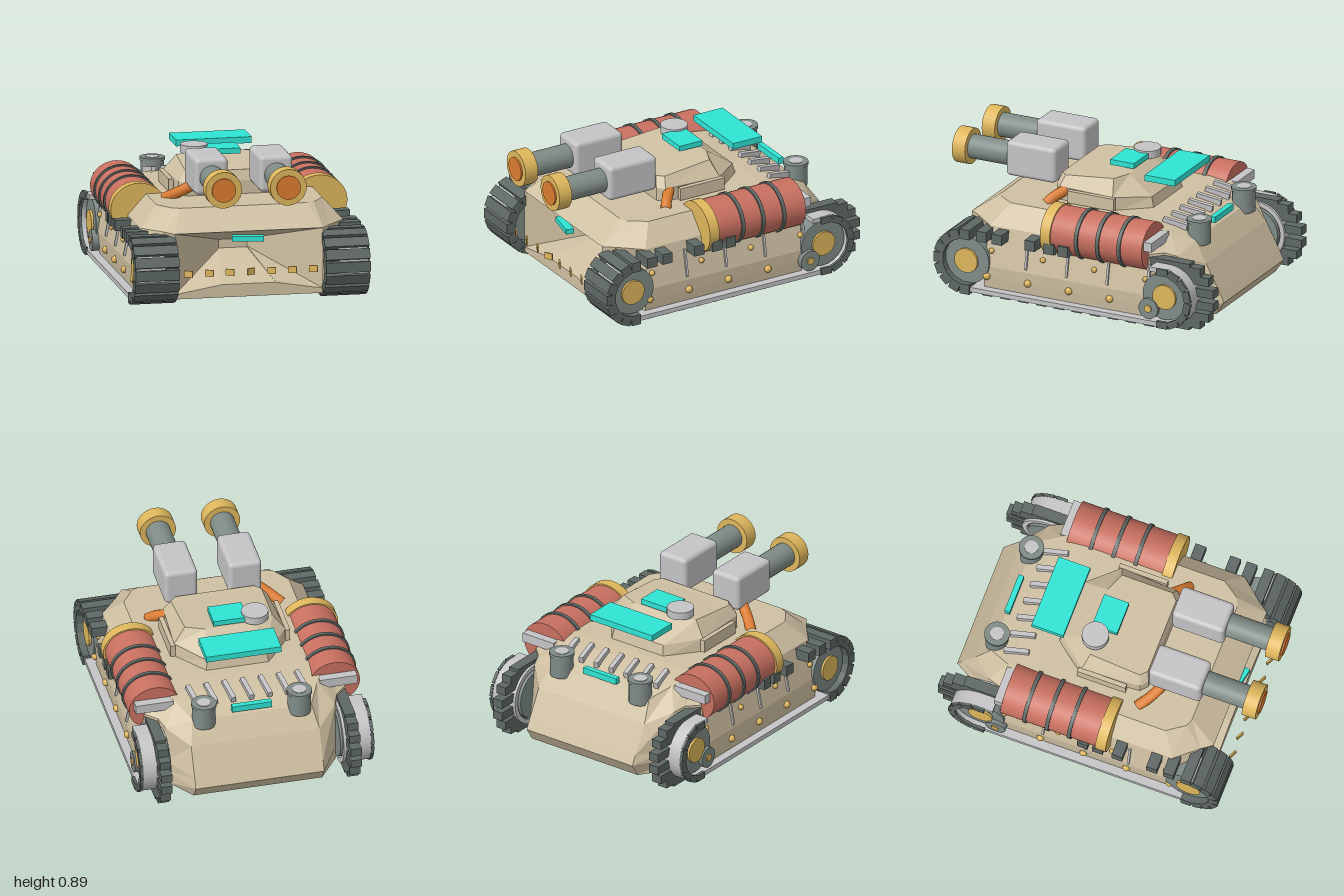
import * as THREE from 'three';
import { RoundedBoxGeometry } from 'three/addons/geometries/RoundedBoxGeometry.js';

const mat = (name, color) => Object.assign(new THREE.MeshStandardMaterial({ color }), { name });

export function createModel() {
  const M = {
    tan: mat('sand armour', 0xcfc0a2), gold: mat('brass', 0xdeb65c), orange: mat('orange copper', 0xdb7c30),
    teal: mat('turquoise glass', 0x2ee4d4), brick: mat('brick red', 0xc87060), steel: mat('grey green steel', 0x7f8b86),
    dark: mat('dark track', 0x5e6865), light: mat('light grey metal', 0xc4c4c6),
  };
  const root = new THREE.Group();
  const add = (name, geo, m, x = 0, y = 0, z = 0, rx = 0, ry = 0, rz = 0) => {
    const mesh = new THREE.Mesh(geo, m);
    mesh.name = name;
    mesh.position.set(x, y, z);
    mesh.rotation.set(rx, ry, rz);
    root.add(mesh);
  };
  const box = (w, h, d) => new THREE.BoxGeometry(w, h, d);
  // cylinders lying along x, y or z
  const cyl = (r, len, axis = 'y', seg = 28) => {
    const g = new THREE.CylinderGeometry(r, r, len, seg);
    if (axis === 'x') g.rotateZ(-Math.PI / 2);
    if (axis === 'z') g.rotateX(Math.PI / 2);
    return g;
  };
  // faceted surface from quads of [x, y, z] corners
  const quadGeo = quads => {
    const p = [];
    quads.forEach(([a, b, c, d]) => p.push(...a, ...b, ...c, ...a, ...c, ...d));
    const g = new THREE.BufferGeometry();
    g.setAttribute('position', new THREE.Float32BufferAttribute(p, 3));
    g.computeVertexNormals();
    return g;
  };
  const mirrorRing = half => [...half, ...half.map(([x, y, z]) => [-x, y, z]).reverse()];
  const loft = (rings, skip = () => false) => {
    const q = [];
    for (let k = 0; k < rings.length - 1; k++) {
      const a = rings[k], b = rings[k + 1], n = a.length;
      for (let i = 0; i < n; i++) {
        const j = (i + 1) % n;
        if (!skip(k, i)) q.push([a[i], a[j], b[j], b[i]]);
      }
    }
    return q;
  };
  const cap = (r, up) => {
    const q = [], n = r.length;
    for (let i = 0; i < n / 2 - 1; i++) {
      const f = [r[i], r[i + 1], r[n - 2 - i], r[n - 1 - i]];
      q.push(up ? f : f.reverse());
    }
    return q;
  };

  // hull: plan outlines from belly to deck, widest low on the sides
  const plan = (y, side, rear, z) => mirrorRing([[0.47, y, 0.77], [0.47, y, 0.66], [side, y, 0.58],
    [side, y, -0.55], [0.57, y, -0.62], [0.54, Math.min(y, rear + 0.06), -0.72], [0.41, rear, z]]);
  const hull = [
    plan(0.045, 0.675, 0.045, -0.9), plan(0.13, 0.685, 0.13, -0.955), plan(0.205, 0.69, 0.19, -0.925),
    mirrorRing([[0.47, 0.46, 0.77], [0.52, 0.46, 0.7], [0.64, 0.46, 0.56], [0.64, 0.46, -0.55],
      [0.57, 0.46, -0.62], [0.54, 0.44, -0.7], [0.41, 0.37, -0.83]]),
    mirrorRing([[0.4, 0.585, 0.6], [0.45, 0.585, 0.58], [0.527, 0.585, 0.47], [0.527, 0.585, -0.42],
      [0.49, 0.575, -0.52], [0.45, 0.555, -0.6], [0.38, 0.5, -0.74]]),
  ];
  // recessed nose: a funnel behind a low raised lip
  const mouth = mirrorRing([[0.17, 0.126, 0.77], [0.47, 0.075, 0.77], [0.47, 0.46, 0.77]]);
  const throat = mirrorRing([[0.088, 0.245, 0.27], [0.09, 0.25, 0.27], [0.09, 0.3, 0.27]]);
  const lip = [[0.47, 0.045], [0.17, 0.045], [-0.17, 0.045], [-0.47, 0.045]].map(([x, y]) => [x, y, 0.77]);
  const lipTop = [mouth[1], mouth[0], mouth[5], mouth[4]];
  const lipQuads = [0, 1, 2].map(i => [lip[i + 1], lip[i], lipTop[i], lipTop[i + 1]]);
  const last = hull[0].length - 1;
  add('hull', quadGeo([...loft(hull, (k, i) => k < 3 && i === last), ...cap(hull[4], true),
    ...cap(hull[0], false), ...loft([mouth, throat]), ...cap(throat, true), ...lipQuads]), M.tan);

  // turret
  const turret = [
    mirrorRing([[0.29, 0.57, 0.27], [0.335, 0.57, 0.23], [0.365, 0.57, -0.15], [0.2, 0.57, -0.36]]),
    mirrorRing([[0.29, 0.67, 0.27], [0.335, 0.67, 0.23], [0.355, 0.67, -0.15], [0.19, 0.65, -0.34]]),
    mirrorRing([[0.25, 0.735, 0.25], [0.29, 0.735, 0.21], [0.28, 0.765, -0.12], [0.16, 0.765, -0.17]]),
  ];
  add('turret', quadGeo([...loft(turret), ...cap(turret[2], true)]), M.tan);
  add('hatch', cyl(0.085, 0.05), M.light, -0.165, 0.8, -0.13);
  add('roofWindow', box(0.215, 0.035, 0.165), M.teal, 0, 0.795, -0.09);
  add('rearPanel', box(0.48, 0.04, 0.21), M.teal, 0, 0.79, -0.42);
  add('rearLamp', box(0.255, 0.04, 0.035), M.teal, 0, 0.545, -0.73);
  add('frontLamp', box(0.2, 0.033, 0.05), M.teal, -0.005, 0.412, 0.757, 0, -0.2);

  // copper hoses beside the guns
  const hose = (...pts) => add('hose', new THREE.TubeGeometry(
    new THREE.CatmullRomCurve3(pts.map(p => new THREE.Vector3(...p))), 10, 0.034, 12), M.orange);
  hose([-0.43, 0.575, 0.25], [-0.36, 0.62, 0.31], [-0.25, 0.69, 0.38]);
  hose([0.42, 0.575, 0.28], [0.38, 0.61, 0.25], [0.31, 0.65, 0.19]);

  // row of brass nose tabs and rear vent slats
  for (let i = 0; i < 7; i++) {
    add('noseTab', box(0.055, 0.042, 0.01), M.gold, -0.405 + i * 0.132, 0.225, 0.87, 0, i % 4 === 3 ? 0.45 : -0.45);
    add('ventSlat', box(0.03, 0.04, 0.16), M.light, -0.355 + i * 0.116, 0.57, -0.58, -0.2, 0.17);
  }

  // track belt: a strip along the belly that curls up around both wheels
  const belt = new THREE.Shape();
  belt.moveTo(0.66, 0.42);
  belt.lineTo(0.66, 0.39);
  belt.absarc(0.69, 0.225, 0.165, Math.PI / 2, -Math.PI / 2, true);
  belt.absarc(-0.69, 0.225, 0.165, Math.PI * 1.5, Math.PI / 2, true);
  belt.lineTo(-0.6, 0.39);
  belt.lineTo(-0.6, 0.42);
  belt.absarc(-0.69, 0.225, 0.195, Math.PI / 2, Math.PI * 1.5, false);
  belt.absarc(0.69, 0.225, 0.195, -Math.PI / 2, Math.PI / 2, false);
  belt.closePath();
  const beltGeo = new THREE.ExtrudeGeometry(belt, { depth: 0.18, bevelEnabled: false, curveSegments: 20 });
  beltGeo.rotateY(-Math.PI / 2).translate(0.09, 0, 0);

  // drums are slightly wider than tall
  const drumGeo = (r, len) => cyl(r, len, 'z', 36).scale(1.09, 1, 1);

  // parts in mirrored pairs
  for (const s of [1, -1]) {
    // guns
    const gx = 0.205 * s;
    add('gunHousing', new RoundedBoxGeometry(0.21, 0.23, 0.345, 3, 0.028), M.light, gx, 0.78, 0.447);
    add('gunBarrel', cyl(0.077, 0.32, 'z'), M.steel, gx, 0.775, 0.76);
    add('muzzleRing', cyl(0.115, 0.09, 'z'), M.gold, gx, 0.775, 0.943);
    add('muzzleCore', cyl(0.076, 0.02, 'z'), M.orange, gx, 0.775, 0.988);

    // side drums
    const dx = 0.573 * s;
    add('drum', drumGeo(0.151, 0.66), M.brick, dx, 0.495, -0.215);
    add('drumCap', drumGeo(0.163, 0.068), M.gold, dx, 0.492, 0.122);
    for (const z of [-0.09, -0.237, -0.387])
      add('drumBand', drumGeo(0.16, 0.024), M.dark, dx, 0.495, z);
    add('drumBracket', box(0.24, 0.06, 0.06), M.light, 0.588 * s, 0.535, -0.57);

    // exhaust stacks and turret cheeks
    add('stack', cyl(0.073, 0.14), M.steel, 0.305 * s, 0.53, -0.73);
    add('stackRim', cyl(0.079, 0.02), M.steel, 0.305 * s, 0.608, -0.73);
    add('stackMouth', cyl(0.043, 0.008), M.light, 0.305 * s, 0.617, -0.73);
    add('turretCheek', box(0.03, 0.08, 0.32), M.tan, 0.367 * s, 0.63, -0.01);

    // track belt and wheels, recessed behind the shoes
    add('trackBelt', beltGeo, M.light, 0.643 * s);
    for (const z of [0.69, -0.69]) {
      add('wheel', cyl(0.155, 0.16, 'x', 24), M.steel, 0.62 * s, 0.225, z);
      add('hub', cyl(0.08, 0.03, 'x', 24), M.gold, 0.7 * s, 0.225, z);
    }
    add('idler', cyl(0.067, 0.06, 'x', 20), M.steel, 0.695 * s, 0.135, -0.585);
    add('idlerHub', cyl(0.024, 0.012, 'x', 14), M.gold, 0.727 * s, 0.135, -0.585);

    // track shoes: front arc, rear arc, belly and upper run
    for (let i = 0; i < 9; i++) {
      const a = Math.PI * (0.5 - i / 8);
      add('frontShoe', box(0.28, 0.066, 0.065), M.dark, 0.605 * s,
        0.228 + 0.182 * Math.sin(a), 0.685 + 0.182 * Math.cos(a), -a);
    }
    for (let i = 0; i < 8; i++) {
      const a = Math.PI * (0.5 - i / 7);
      add('rearShoe', box(0.07, 0.055, 0.28), M.dark, 0.605 * s,
        0.225 + 0.192 * Math.sin(a), -0.69 - 0.17 * Math.cos(a));
      add('rearRimShoe', box(0.02, 0.075, 0.045), M.dark, 0.737 * s,
        0.225 + 0.175 * Math.sin(a), -0.69 - 0.175 * Math.cos(a), a);
    }
    for (let i = 0; i < 10; i++)
      add('bellyShoe', box(0.15, 0.03, 0.07), M.dark, 0.605 * s, 0.015, 0.56 - i * 0.125);
    for (const z of [0.57, 0.46, 0.23, 0.1, 0])
      add('upperShoe', box(0.14, 0.068, 0.07), M.dark, 0.675 * s, 0.415, z);

    // skirt rivets and seams, following the slope of the side
    for (let i = 0; i < 4; i++) {
      add('rivet', new THREE.SphereGeometry(0.024, 12, 8), M.gold, 0.688 * s, 0.137, 0.557 - i * 0.285);
      add('rivet', new THREE.SphereGeometry(0.018, 12, 8), M.gold, 0.674 * s, 0.305, 0.53 - i * 0.357);
      add('seam', box(0.016, 0.18, 0.014), M.light, 0.674 * s, 0.315, 0.285 - i * 0.283, 0, 0, 0.19 * s);
    }
  }
  return root;
}
